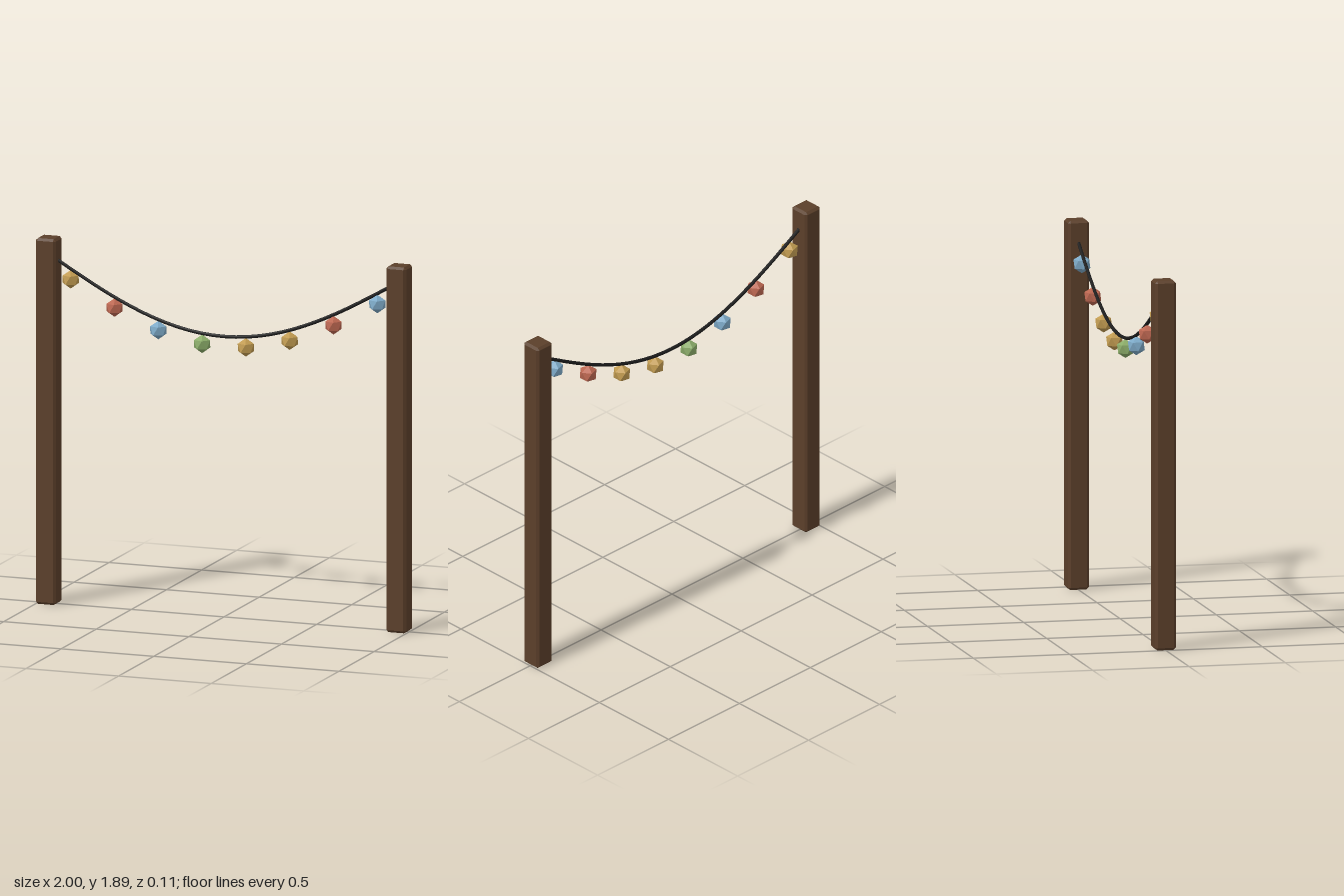
import * as THREE from 'three';
import { ConvexGeometry } from 'three/addons/geometries/ConvexGeometry.js';

const SPAN = 0.946; // half distance between post centres
const POST = { width: 0.108, height: 1.89, chamfer: 0.012 };

const paint = (color, flatShading = true) => {
  const material = new THREE.MeshStandardMaterial({ flatShading });
  material.color.set(color);
  return material;
};

// Height of the sagging wire at t = 0..1 along the span
const wireY = (t) => 1.804 - 0.355 * Math.sin(Math.PI * t);
const wireX = (t) => (t * 2 - 1) * SPAN;

// Box with every edge cut at 45 degrees
function chamferedBox(w, h, d, c) {
  const points = [];
  for (const x of [-1, 1]) for (const y of [-1, 1]) for (const z of [-1, 1]) {
    for (let axis = 0; axis < 3; axis++) {
      points.push(new THREE.Vector3(
        x * (w / 2 - (axis === 0 ? 0 : c)),
        y * (h / 2 - (axis === 1 ? 0 : c)),
        z * (d / 2 - (axis === 2 ? 0 : c))
      ));
    }
  }
  return new ConvexGeometry(points);
}

export function createModel() {
  const group = new THREE.Group();
  group.name = 'stringLights';
  const add = (name, geometry, material, x, y) => {
    const mesh = new THREE.Mesh(geometry, material);
    mesh.name = name;
    mesh.position.set(x, y, 0);
    group.add(mesh);
  };

  // Wooden posts
  const postGeometry = chamferedBox(POST.width, POST.height, POST.width, POST.chamfer);
  const wood = paint(0x5b3f2a);
  add('rightPost', postGeometry, wood, -SPAN, POST.height / 2);
  add('leftPost', postGeometry, wood, SPAN, POST.height / 2);

  // Sagging wire, ending inside the posts
  const points = [];
  for (let i = 0; i <= 16; i++) {
    points.push(new THREE.Vector3(wireX(i / 16), wireY(i / 16), 0));
  }
  const wire = new THREE.TubeGeometry(new THREE.CatmullRomCurve3(points), 32, 0.009, 8);
  add('wire', wire, paint(0x1c1c1c, false), 0, 0);

  // Faceted bulbs, each standing on a vertex
  const bulbGeometry = new THREE.IcosahedronGeometry(0.048, 0);
  bulbGeometry.rotateX(-Math.atan((1 + Math.sqrt(5)) / 2));
  bulbGeometry.rotateY(Math.PI / 2);
  const colors = [0xc09a50, 0xbb6650, 0x7ca8c6, 0x8aab68, 0xc09a50].map((c) => paint(c));
  const count = 8;
  for (let i = 0; i < count; i++) {
    const t = (i + 0.5) / count;
    add(`bulb${i + 1}`, bulbGeometry, colors[i % colors.length], wireX(t), wireY(t) - 0.054);
  }

  return group;
}
